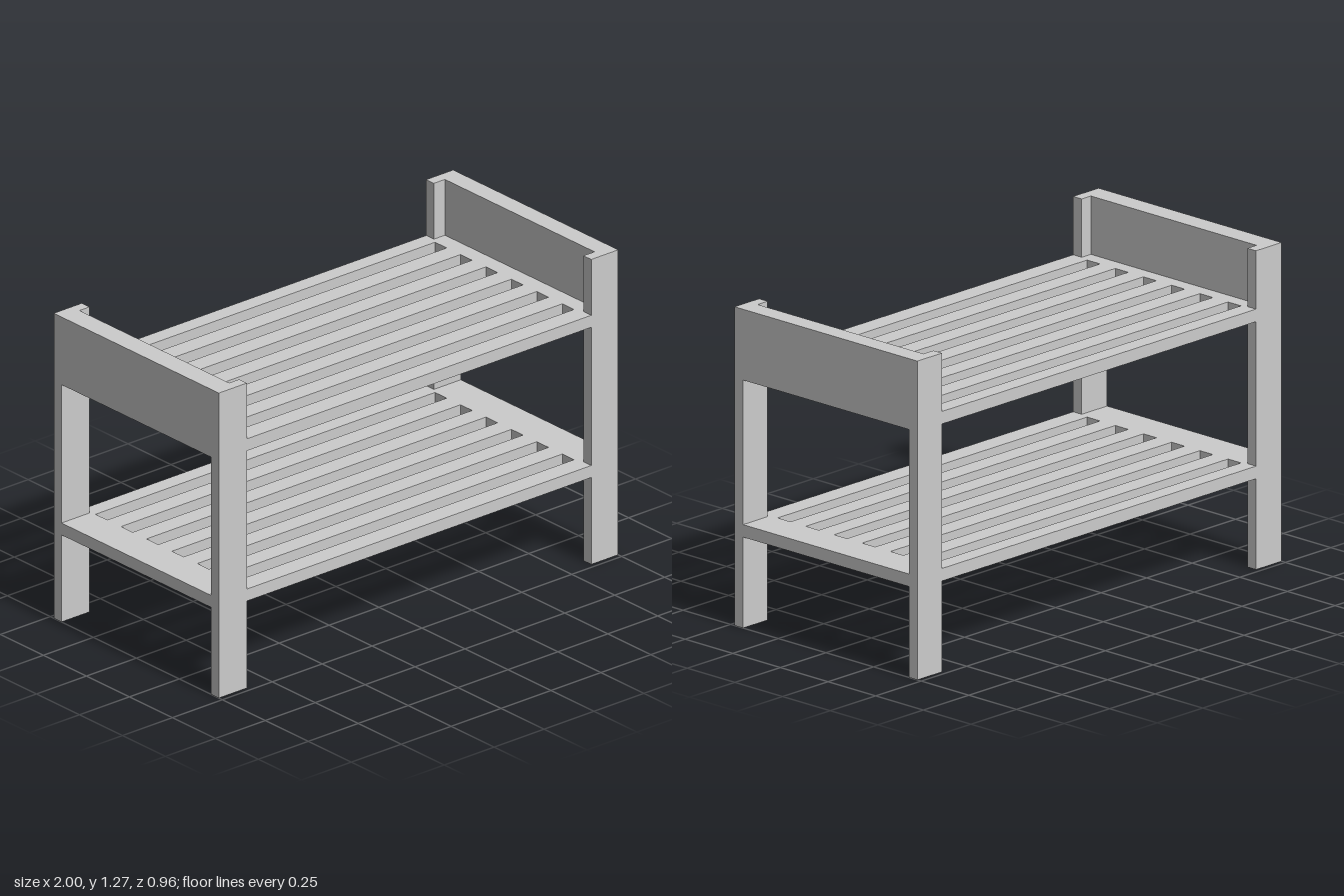
import * as THREE from 'three';

const HEIGHT = 1.273, DEPTH = 0.48, LEG_Z = 0.435;
const LEG_L = -0.86, LEG_R = 0.865;      // inner faces of the legs
const PANEL_L = -0.91, PANEL_R = 0.92;   // inner faces of the end panels
const SHELF_T = 0.05;

const material = new THREE.MeshStandardMaterial({ color: 0xcccccc, flatShading: true });

// Box given by its two extreme corners
function block(name, x0, x1, y0, y1, z0, z1) {
  const mesh = new THREE.Mesh(new THREE.BoxGeometry(x1 - x0, y1 - y0, z1 - z0), material);
  mesh.position.set((x0 + x1) / 2, (y0 + y1) / 2, (z0 + z1) / 2);
  mesh.name = name;
  return mesh;
}

// Slatted shelf: a board notched around the four legs, with six long slots
function shelf(name, y, left, right) {
  const points = [
    [LEG_L, -DEPTH], [LEG_R, -DEPTH], [LEG_R, -LEG_Z], [right, -LEG_Z],
    [right, LEG_Z], [LEG_R, LEG_Z], [LEG_R, DEPTH], [LEG_L, DEPTH],
    [LEG_L, LEG_Z], [left, LEG_Z], [left, -LEG_Z], [LEG_L, -LEG_Z],
  ].map(([x, z]) => new THREE.Vector2(x, z));
  const shape = new THREE.Shape(points);
  for (let i = 0; i < 6; i++) {
    const z0 = -0.411 + i * 0.148, z1 = z0 + 0.068;
    shape.holes.push(new THREE.Path([
      new THREE.Vector2(-0.85, z0), new THREE.Vector2(-0.85, z1),
      new THREE.Vector2(0.85, z1), new THREE.Vector2(0.85, z0),
    ]));
  }
  const geometry = new THREE.ExtrudeGeometry(shape, { depth: SHELF_T, bevelEnabled: false });
  geometry.rotateX(Math.PI / 2); // shape y becomes z, thickness runs down
  const mesh = new THREE.Mesh(geometry, material);
  mesh.position.y = y + SHELF_T;
  mesh.name = name;
  return mesh;
}

export function createModel() {
  const model = new THREE.Group();
  model.name = 'slattedRack';

  // Four flat legs
  for (const [end, z0, z1] of [['front', LEG_Z, DEPTH], ['back', -DEPTH, -LEG_Z]]) {
    model.add(block(end + 'RightLeg', -1, LEG_L, 0, HEIGHT, z0, z1));
    model.add(block(end + 'LeftLeg', LEG_R, 1, 0, HEIGHT, z0, z1));
  }

  // End panels between the legs
  model.add(block('rightEndPanel', -1, PANEL_L, 0.99, HEIGHT, -LEG_Z, LEG_Z));
  model.add(block('leftEndPanel', PANEL_R, 1, 0.99, HEIGHT, -LEG_Z, LEG_Z));

  // Shelves: the lower one reaches the outer faces, the upper one meets the panels
  model.add(shelf('lowerShelf', 0.363, -1, 1));
  model.add(shelf('upperShelf', 0.99, PANEL_L, PANEL_R));

  return model;
}
